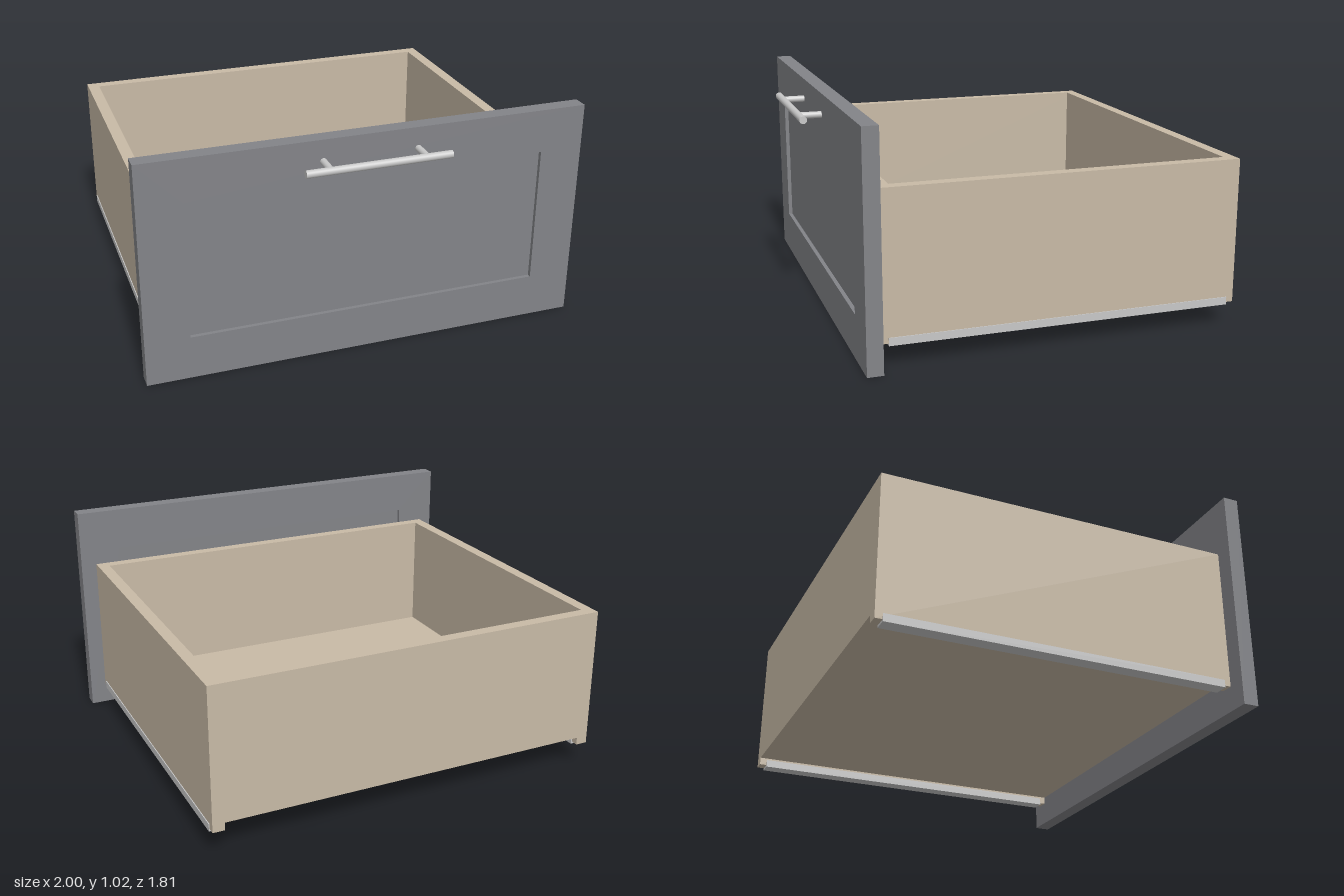
import * as THREE from 'three';

export function createModel() {
  const model = new THREE.Group();
  model.name = 'drawer';

  const mat = (name, color) => {
    const m = new THREE.MeshStandardMaterial({ color });
    m.name = name;
    return m;
  };
  const paint = mat('greyPaint', 0x838488);
  const wood = mat('paleWood', 0xc8baa6);
  const metal = mat('metal', 0xc8c8c8);

  const add = (name, geometry, material, parent = model) => {
    const mesh = new THREE.Mesh(geometry, material);
    mesh.name = name;
    parent.add(mesh);
    return mesh;
  };
  // Box given by its lower and upper limits on each axis
  const block = (name, material, [x0, x1], [y0, y1], [z0, z1], parent) => {
    const g = new THREE.BoxGeometry(x1 - x0, y1 - y0, z1 - z0);
    g.translate((x0 + x1) / 2, (y0 + y1) / 2, (z0 + z1) / 2);
    return add(name, g, material, parent);
  };
  const rectangle = (PathType, x, y0, y1) => new PathType([
    new THREE.Vector2(-x, y0), new THREE.Vector2(x, y0),
    new THREE.Vector2(x, y1), new THREE.Vector2(-x, y1),
  ]);

  // Framed front with a panel recessed on both faces
  const frontBack = 0.717, frontFace = 0.788, recess = 0.018;
  const front = new THREE.Group();
  front.name = 'drawerFront';
  model.add(front);
  const frame = rectangle(THREE.Shape, 1, 0, 1.025);
  frame.holes.push(rectangle(THREE.Path, 0.803, 0.2, 0.828));
  const frameGeometry = new THREE.ExtrudeGeometry(frame, { depth: frontFace - frontBack, bevelEnabled: false });
  frameGeometry.translate(0, 0, frontBack);
  add('frontFrame', frameGeometry, paint, front);
  block('frontPanel', paint, [-0.803, 0.803], [0.2, 0.828], [frontBack + recess, frontFace - recess], front);

  // Open box: the sides reach lower than the floor and end walls
  const outer = 0.928, inner = 0.874, zBack = -0.905, zFront = 0.708, wall = 0.053;
  const low = 0.105, floorLow = 0.14, floorTop = 0.195, top = 0.76;
  const box = new THREE.Group();
  box.name = 'drawerBox';
  model.add(box);
  block('backWall', wood, [-inner, inner], [floorLow, top], [zBack, zBack + wall], box);
  block('innerFrontWall', wood, [-inner, inner], [floorLow, top], [zFront - wall, zFront], box);
  block('floor', wood, [-inner, inner], [floorLow, floorTop], [zBack + wall, zFront - wall], box);

  // Side walls with a runner wrapped around each lower edge
  for (const [side, s] of [['left', 1], ['right', -1]]) {
    const span = (a, b) => [a * s, b * s].sort((p, q) => p - q);
    block(side + 'Wall', wood, span(inner, outer), [low, top], [zBack, zFront], box);
    block(side + 'Runner', metal, span(0.868, 0.932), [0.095, 0.13], [-0.872, 0.678]);
  }

  // Bar handle on two posts
  const handle = new THREE.Group();
  handle.name = 'handle';
  handle.position.set(0, 0.928, 0.888);
  model.add(handle);
  const bar = new THREE.CylinderGeometry(0.017, 0.017, 0.644, 32);
  bar.rotateZ(Math.PI / 2);
  add('handleBar', bar, metal, handle);
  for (const x of [-0.212, 0.212]) {
    const post = new THREE.CylinderGeometry(0.015, 0.015, 0.1, 24);
    post.rotateX(Math.PI / 2);
    add('handlePost', post, metal, handle).position.set(x, 0, -0.05);
  }

  return model;
}
